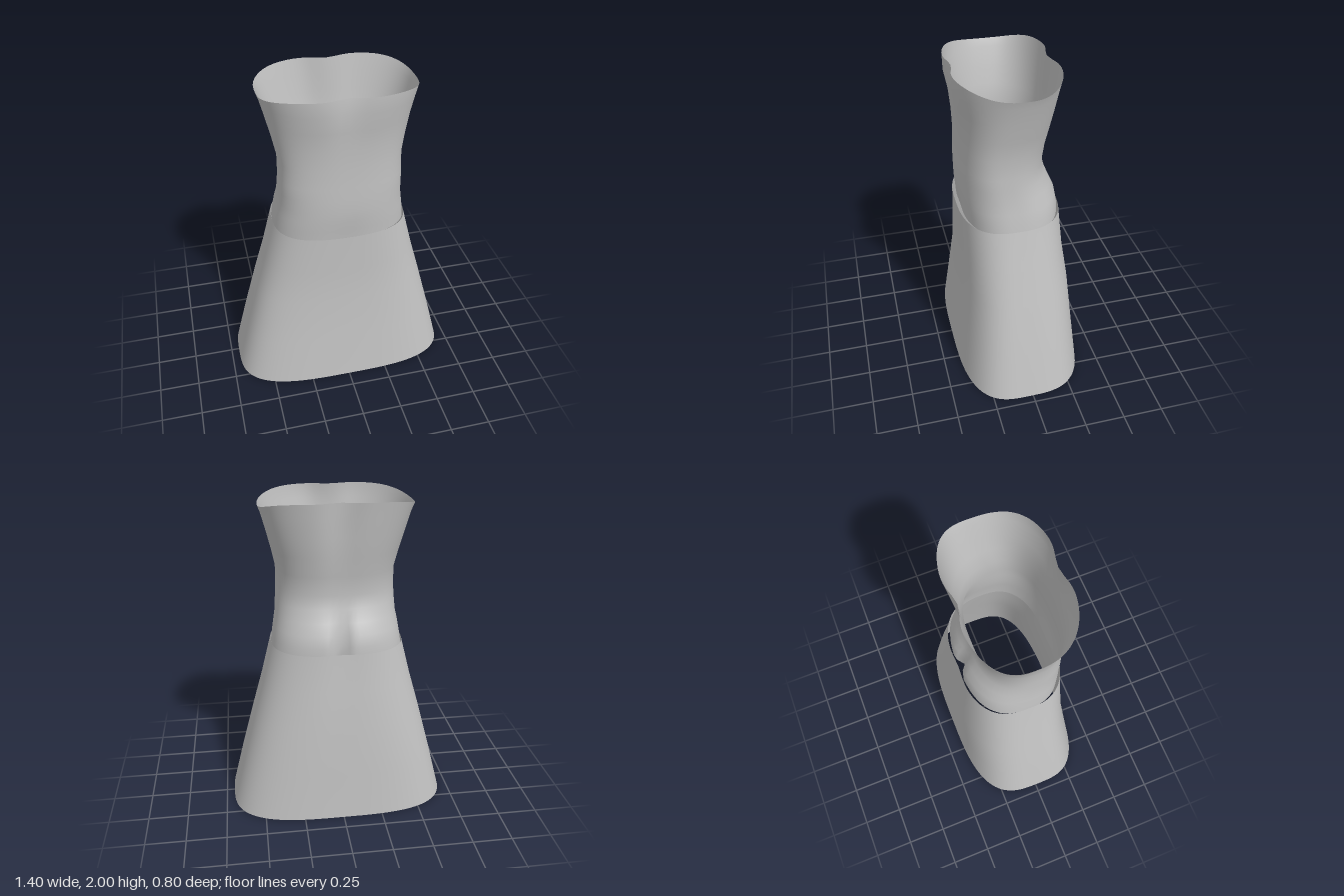
import * as THREE from 'three';

const SEGMENTS = 96;

// Each row: height, half width, front z, back z, z of widest point, roundness power,
// front dip depth, back dip depth, back dip width
function loft(rows, material, name, rimDip = 0) {
  const positions = [];
  const index = [];
  rows.forEach(([y, w, front, back, mid, power, frontDip, backDip, dipWidth], r) => {
    for (let i = 0; i < SEGMENTS; i++) {
      const a = (i / SEGMENTS) * Math.PI * 2;
      const c = Math.cos(a);
      const s = Math.sin(a);
      const x = w * Math.sign(c) * Math.abs(c) ** (2 / power);
      const depth = Math.abs(s) ** (2 / power);
      let z = s >= 0 ? mid + (front - mid) * depth : mid + (back - mid) * depth;
      // Centre hollows on the chest and back
      if (s > 0) z -= frontDip * Math.exp(-((x / 0.1) ** 2));
      else z += backDip * Math.exp(-((x / dipWidth) ** 2));
      // Top rim is scooped under the arms
      const drop = r === rows.length - 1 ? rimDip * c ** 4 : 0;
      positions.push(x, y - drop, z);
      if (r < rows.length - 1) {
        const j = (i + 1) % SEGMENTS;
        const p = r * SEGMENTS;
        const q = p + SEGMENTS;
        index.push(p + i, q + i, p + j, p + j, q + i, q + j);
      }
    }
  });
  const geometry = new THREE.BufferGeometry();
  geometry.setAttribute('position', new THREE.Float32BufferAttribute(positions, 3));
  geometry.setIndex(index);
  geometry.computeVertexNormals();
  const mesh = new THREE.Mesh(geometry, material);
  mesh.name = name;
  return mesh;
}

export function createModel() {
  const group = new THREE.Group();
  group.name = 'dress';
  const cloth = new THREE.MeshStandardMaterial({ color: 0xc0c0c0, side: THREE.DoubleSide });
  cloth.name = 'grey cloth';

  // Flared skirt, open at hem and waist
  group.add(loft([
    [0.00, 0.70, 0.40, -0.40, 0.03, 3.2, 0, 0, 0.1],
    [0.30, 0.625, 0.365, -0.372, 0.03, 3.1, 0, 0, 0.1],
    [0.62, 0.54, 0.332, -0.347, 0.03, 2.9, 0, 0, 0.1],
    [0.85, 0.475, 0.328, -0.315, 0.03, 2.8, 0, 0.004, 0.1],
    [1.10, 0.412, 0.327, -0.295, 0.03, 2.7, 0, 0.012, 0.1],
  ], cloth, 'skirt'));

  // Fitted bodice with a hollow lower back
  group.add(loft([
    [1.08, 0.408, 0.305, -0.283, 0.03, 2.6, 0.006, 0.05, 0.04],
    [1.14, 0.400, 0.309, -0.282, 0.04, 2.6, 0.004, 0.05, 0.04],
    [1.21, 0.388, 0.315, -0.268, 0.05, 2.6, 0, 0.04, 0.045],
    [1.28, 0.376, 0.318, -0.238, 0.07, 2.5, 0, 0.02, 0.06],
    [1.36, 0.371, 0.318, -0.205, 0.09, 2.5, 0, 0.004, 0.08],
    [1.44, 0.367, 0.314, -0.186, 0.10, 2.5, 0, 0.002, 0.1],
    [1.56, 0.364, 0.311, -0.205, 0.09, 2.5, 0, 0.008, 0.1],
    [1.68, 0.388, 0.315, -0.228, 0.06, 2.5, 0.003, 0.015, 0.1],
    [1.80, 0.416, 0.327, -0.247, 0.03, 2.5, 0.008, 0.025, 0.1],
    [1.91, 0.444, 0.350, -0.262, 0.01, 2.5, 0.022, 0.034, 0.1],
    [2.00, 0.460, 0.350, -0.274, 0.00, 2.6, 0.034, 0.040, 0.1],
  ], cloth, 'bodice', 0.045));

  return group;
}
